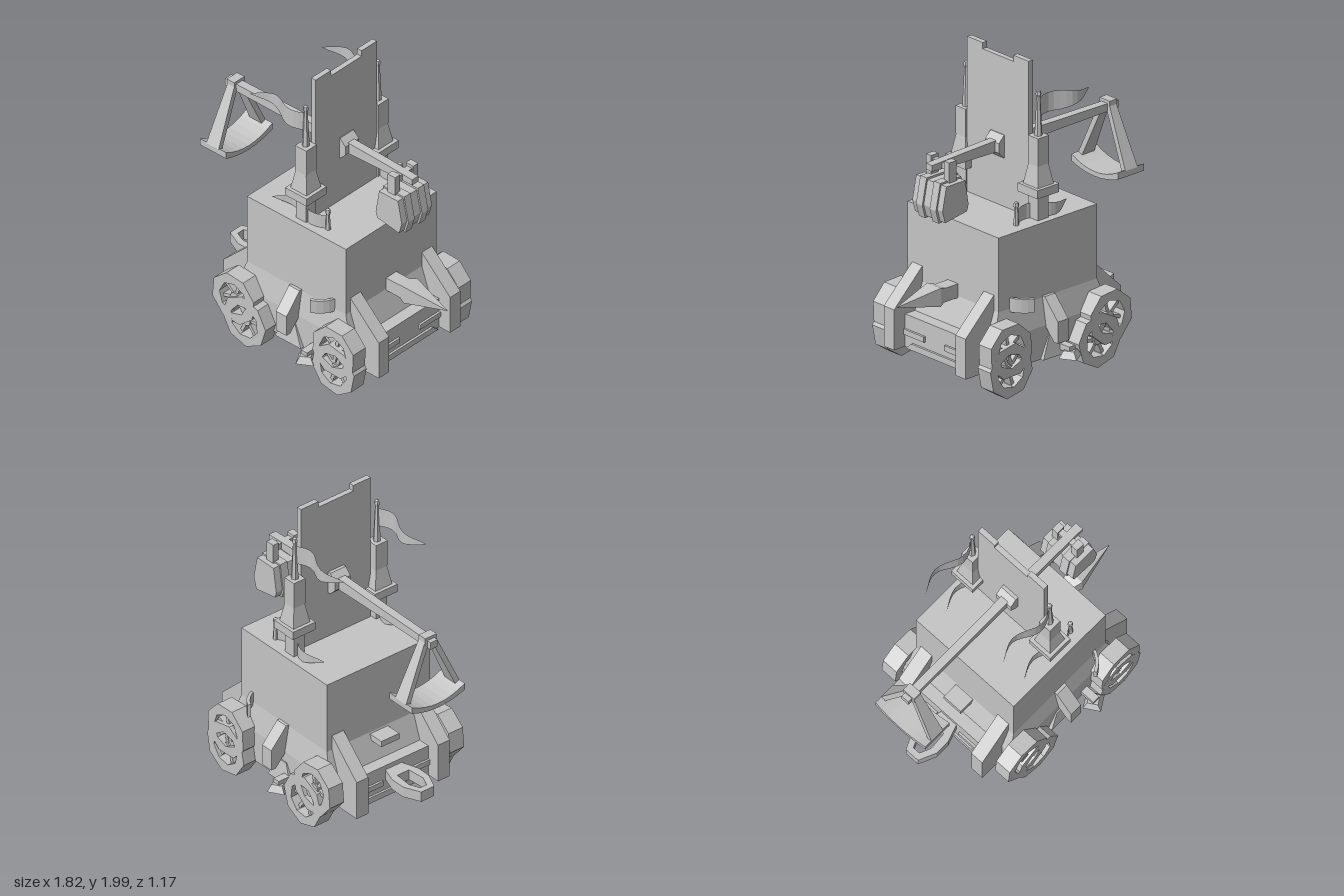
import * as THREE from 'three';

const stone = new THREE.MeshStandardMaterial({ color: 0xc4c4c4, flatShading: true, side: THREE.DoubleSide });
stone.name = 'plain grey';
const CX = 0.05; // centre line of the hull in x

export function createModel() {
  const root = new THREE.Group();
  root.name = 'siegeWagon';

  const add = (name, geo, x = 0, y = 0, z = 0, parent = root) => {
    const m = new THREE.Mesh(geo, stone);
    m.name = name;
    m.position.set(x, y, z);
    parent.add(m);
    return m;
  };
  // box given by its min and max corners
  const box = (name, x0, x1, y0, y1, z0, z1, parent = root) =>
    add(name, new THREE.BoxGeometry(x1 - x0, y1 - y0, z1 - z0), (x0 + x1) / 2, (y0 + y1) / 2, (z0 + z1) / 2, parent);
  // box whose top is scaled in x and z
  const taper = (w, h, d, sx, sz = sx) => {
    const g = new THREE.BoxGeometry(w, h, d), p = g.attributes.position;
    for (let i = 0; i < p.count; i++)
      if (p.getY(i) > 0) p.setXYZ(i, p.getX(i) * sx, p.getY(i), p.getZ(i) * sz);
    g.computeVertexNormals();
    return g;
  };
  const outline = pts => pts.map(p => new THREE.Vector2(p[0], p[1]));
  // outline extruded along z, centred
  const prism = (pts, depth, holes = []) => {
    const s = new THREE.Shape(outline(pts));
    holes.forEach(h => s.holes.push(new THREE.Path(outline(h))));
    return new THREE.ExtrudeGeometry(s, { depth, bevelEnabled: false }).translate(0, 0, -depth / 2);
  };
  // outline drawn in (z, y), extruded along x
  const sidePrism = (pts, depth) => prism(pts, depth).rotateY(-Math.PI / 2);
  // outline drawn in (x, z), extruded along y
  const flatPrism = (pts, depth, holes) => prism(pts, depth, holes).rotateX(Math.PI / 2);
  const ngon = (r, n, a = 0) => Array.from({ length: n }, (_, i) =>
    [r * Math.cos(a + i * 2 * Math.PI / n), r * Math.sin(a + i * 2 * Math.PI / n)]);

  // hull
  box('upperHull', -0.35, 0.45, 0.52, 1, -0.4, 0.4);
  add('skirt', taper(0.92, 0.17, 0.86, 0.8 / 0.92, 0.8 / 0.86), CX, 0.435, 0);
  box('lowerHull', -0.41, 0.51, 0.14, 0.35, -0.43, 0.43);
  box('endBlock', -0.49, 0.59, 0.14, 0.35, -0.27, 0.27);
  for (const s of [-1, 1]) {
    const ex = CX + s * 0.545;
    for (const t of [-1, 1]) {
      // stepped buttresses and slats on the end faces
      const b = add('buttress', prism([[0.38, 0.14], [0.63, 0.14], [0.63, 0.4], [0.4, 0.62], [0.38, 0.62]], 0.09), CX, 0, t * 0.315);
      b.scale.x = s;
      add('slat', new THREE.BoxGeometry(0.02, 0.035, 0.18), ex, 0.24, t * 0.18);
    }
    add('endApron', sidePrism([[-0.25, 0.14], [0.25, 0.14], [0.2, 0.18], [-0.2, 0.18]], 0.02), ex, 0, 0);
  }
  box('rearLedge', -0.46, -0.34, 0.47, 0.51, -0.07, 0.07);
  add('hitch', flatPrism([[-0.48, -0.06], [-0.6, -0.1], [-0.7, -0.1], [-0.81, -0.05], [-0.81, 0.05], [-0.7, 0.1], [-0.6, 0.1], [-0.48, 0.06]], 0.07,
    [[[-0.58, -0.045], [-0.7, -0.055], [-0.77, -0.025], [-0.77, 0.025], [-0.7, 0.055], [-0.58, 0.045]]]), 0, 0.285, 0);

  // ram
  box('ramBeam', 0.44, 0.57, 0.51, 0.6, -0.045, 0.045);
  const tip = add('ramHead', taper(0.12, 0.3, 0.12, 0.02), 0.755, 0.558, 0);
  tip.rotation.z = -Math.PI / 2;
  const neck = add('ramCollar', taper(0.08, 0.06, 0.08, 1.5), 0.575, 0.558, 0);
  neck.rotation.z = -Math.PI / 2;

  // overlapping spoked wheels
  const wheel = (x, y, z, a) => {
    const g = new THREE.Group();
    g.name = 'wheel';
    g.position.set(x, y, z);
    g.rotation.z = a;
    add('rim', prism(ngon(0.175, 8), 0.11, [ngon(0.11, 8, Math.PI / 8)]), 0, 0, 0, g);
    for (let i = 0; i < 3; i++)
      add('spoke', new THREE.BoxGeometry(0.22, 0.022, 0.06), 0, 0, 0, g).rotation.z = i * Math.PI / 3;
    add('hub', new THREE.CylinderGeometry(0.035, 0.035, 0.08, 8).rotateX(Math.PI / 2), 0, 0, 0, g);
    root.add(g);
  };

  // wavy swallow pennant on a pole
  const pennant = (x, y, z) => {
    const g = new THREE.Group();
    g.name = 'pennant';
    g.position.set(x, y, z);
    add('pole', new THREE.CylinderGeometry(0.012, 0.024, 0.25, 6), 0, 0.125, 0, g);
    add('finial', new THREE.LatheGeometry(outline([[0.01, 0.24], [0.018, 0.265], [0.014, 0.285], [0, 0.292]]), 6), 0, 0, 0, g);
    const cloth = new THREE.PlaneGeometry(0.42, 1, 12, 1), p = cloth.attributes.position;
    for (let i = 0; i < p.count; i++) {
      const t = 0.5 - p.getX(i) / 0.42; // 0 at the pole, 1 at the tip
      const k = t < 0.42 ? 1 : Math.max(0, 1 - (t - 0.42) / 0.58);
      const half = 0.003 + 0.06 * Math.pow(k, 0.85);
      p.setXYZ(i, -0.008 - 0.42 * t, 0.17 + 0.012 * t + Math.sign(p.getY(i)) * half, 0.034 * Math.sin(t * 7));
    }
    cloth.computeVertexNormals();
    add('cloth', cloth, 0, 0, 0, g);
    root.add(g);
  };

  for (const s of [-1, 1]) {
    wheel(-0.355, 0.305, s * 0.465, 0.3);
    wheel(-0.265, 0.18, s * 0.4651, 0.1);
    wheel(0.455, 0.305, s * 0.465, 0.35);
    wheel(0.455, 0.18, s * 0.4651, 0.2);
    for (const x of [-0.31, 0.455]) add('axleBox', new THREE.BoxGeometry(0.12, 0.1, 0.12), x, 0.27, s * 0.4);

    // side bracket with its flared foot
    const bracket = add('sideBracket', sidePrism([[0.38, 0.53], [0.42, 0.53], [0.535, 0.4], [0.535, 0.26], [0.5, 0.26], [0.41, 0.36]], 0.085), CX, 0, 0);
    bracket.scale.z = s;
    add('bracketFoot', taper(0.21, 0.14, 0.06, 0.4), 0.03, 0.21, s * 0.425);

    // small curved side plate
    const curve = new THREE.QuadraticBezierCurve3(
      new THREE.Vector3(0.36, 0, 0.4), new THREE.Vector3(0.335, 0, 0.475), new THREE.Vector3(0.26, 0, 0.51));
    const c = curve.getPoints(4).map(v => [v.x, v.z]);
    const plate = c.concat(c.slice().reverse().map(v => [v[0] - 0.012, v[1] - 0.018]));
    add('sidePlate', flatPrism(plate, 0.09), 0, 0.545, 0).scale.z = s;

    // flared foot under the flank
    const bell = add('flankFoot', taper(0.11, 0.045, 0.11, 0.6), s > 0 ? 0.23 : -0.03, 0.16, s * 0.51);
    bell.rotation.y = 0.55;
    box('flankFootStrut', bell.position.x - 0.025, bell.position.x + 0.025, 0.17, 0.21, s > 0 ? 0.42 : -0.53, s > 0 ? 0.53 : -0.42);

    // turret
    const z = s * 0.318;
    box('turretPost', 0.008, 0.092, 0.98, 1.17, z - 0.042, z + 0.042);
    add('turretFlange', new THREE.BoxGeometry(0.175, 0.055, 0.175), CX, 1.193, z);
    add('turretCone', taper(0.13, 0.13, 0.13, 0.65), CX, 1.285, z);
    box('turretTop', 0.005, 0.095, 1.35, 1.53, z - 0.045, z + 0.045);
    pennant(CX, 1.53, z);
    pennant(0.23, 0.86, z);
  }

  // notched wall
  add('notchedWall', sidePrism([[-0.27, 1], [0.27, 1], [0.27, 2], [0.135, 2], [0.135, 1.96], [-0.135, 1.96], [-0.135, 2], [-0.27, 2]], 0.035), 0.068, 0, 0);

  // throwing arm
  add('throwingArm', prism([[-0.87, 1.365], [-0.4, 1.36], [CX, 1.35], [0.4, 1.36], [0.645, 1.37], [0.645, 1.41], [0.4, 1.42], [CX, 1.43], [-0.4, 1.42], [-0.87, 1.415]], 0.055), 0, 0, 0);
  add('armHub', prism(ngon(0.08, 8, Math.PI / 8), 0.12), 0.06, 1.388, 0);

  // sling with a sagging tray
  box('slingPin', -0.84, -0.78, 1.36, 1.435, -0.045, 0.045);
  for (const s of [-1, 1]) {
    const leg = add('slingLeg', taper(0.1, 0.4, 0.035, 0.55, 1), -0.808, 1.215, s * 0.11);
    leg.rotation.x = -s * 0.42;
  }
  const arc = (y, sag) => Array.from({ length: 9 }, (_, i) => {
    const t = i / 4 - 1;
    return [t * 0.205, y - sag * (1 - t * t)];
  });
  add('slingTray', sidePrism(arc(1.0, 0.04).concat(arc(1.045, 0.055).reverse()), 0.21), -0.805, 0, 0);

  // counterweight of two lobes
  const lobe = [[0.465, 1.31], [0.435, 1.13], [0.45, 1.085], [0.645, 1.053], [0.67, 1.14], [0.635, 1.31]];
  for (const s of [-1, 1]) {
    add('weightLobe', prism(lobe, 0.055), 0, 0, s * 0.06);
    const low = add('weightOuter', prism(lobe, 0.05), 0.055, 0.12, s * 0.108);
    low.scale.set(0.9, 0.9, 1);
    box('weightHanger', 0.515, 0.575, 1.29, 1.43, s * 0.08 - 0.022, s * 0.08 + 0.022);
  }
  add('weightCore', prism(lobe, 0.08), 0.055, 0.118, 0).scale.set(0.9, 0.9, 1);
  box('weightPin', 0.525, 0.565, 1.37, 1.41, -0.1, 0.1);

  return root;
}
